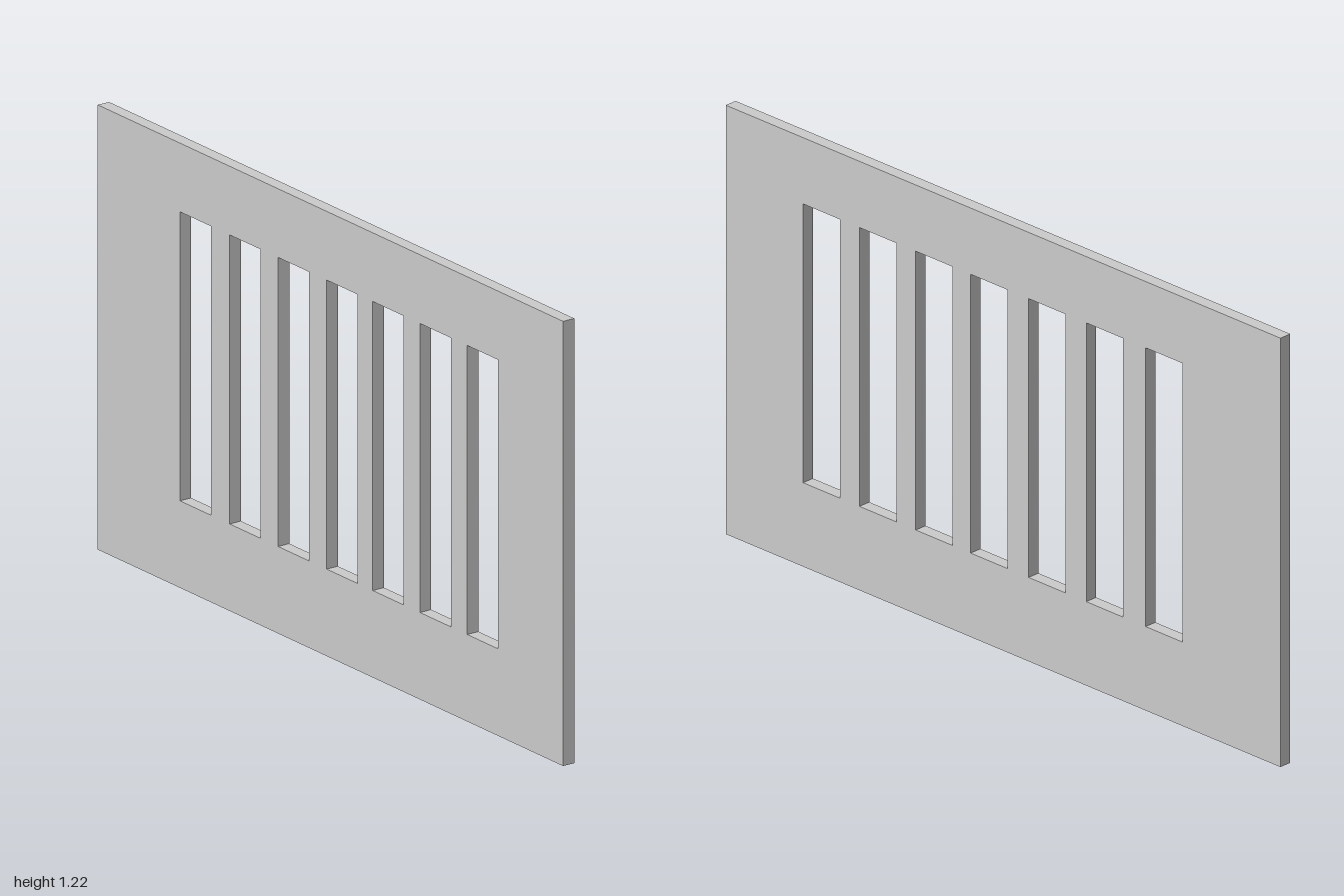
import * as THREE from 'three';

const WIDTH = 2, HEIGHT = 1.217, DEPTH = 0.036;
const SLOT_WIDTH = 0.133, SLOT_BOTTOM = 0.238, SLOT_TOP = 1.029;
// Left edges of the slots, slightly uneven in spacing
const SLOT_EDGES = [-0.647, -0.433, -0.225, -0.016, 0.182, 0.385, 0.588];

// Closed rectangle between two corners
function rectangle(path, x0, y0, x1, y1) {
  path.moveTo(x0, y0);
  path.lineTo(x1, y0);
  path.lineTo(x1, y1);
  path.lineTo(x0, y1);
  path.closePath();
  return path;
}

export function createModel() {
  const group = new THREE.Group();
  group.name = 'slottedPanel';

  // Flat panel pierced by a row of upright slots
  const outline = rectangle(new THREE.Shape(), -WIDTH / 2, 0, WIDTH / 2, HEIGHT);
  for (const x of SLOT_EDGES) {
    outline.holes.push(rectangle(new THREE.Path(), x, SLOT_BOTTOM, x + SLOT_WIDTH, SLOT_TOP));
  }
  const geometry = new THREE.ExtrudeGeometry(outline, { depth: DEPTH, bevelEnabled: false });
  geometry.translate(0, 0, -DEPTH / 2);

  const panel = new THREE.Mesh(geometry, new THREE.MeshStandardMaterial({ color: 0xcccccc }));
  panel.name = 'panel';
  group.add(panel);
  return group;
}
